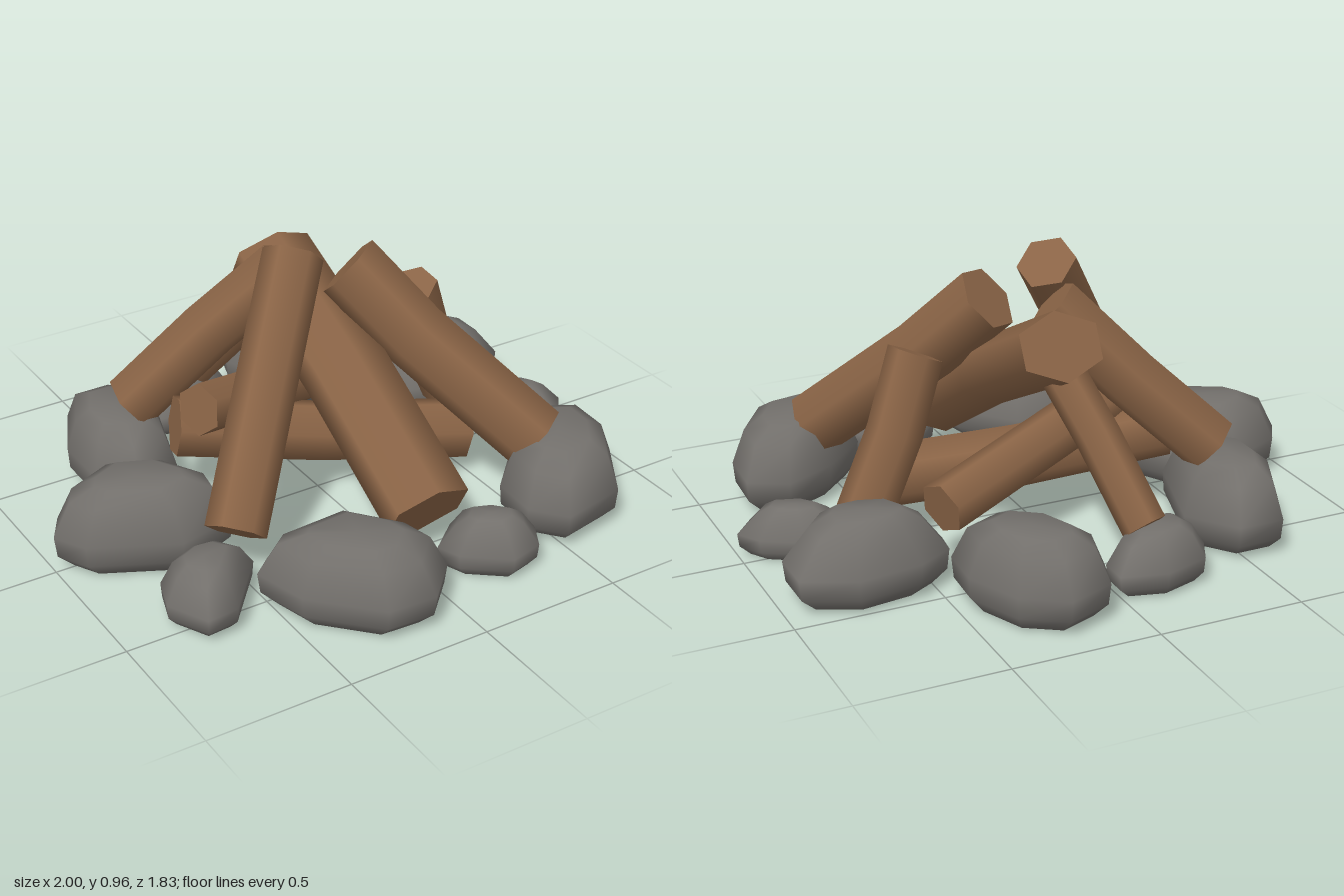
import * as THREE from 'three';

const V = (p) => new THREE.Vector3(...p);

// Six-sided log from a to b, its middle ring pushed through mid so it bends.
function log(material, name, radius, a, mid, b, widen = 1) {
  const start = V(a), end = V(b), axis = end.clone().sub(start);
  const geo = new THREE.CylinderGeometry(radius, radius, axis.length(), 6, 2);
  geo.scale(widen, 1, 1);
  geo.applyQuaternion(new THREE.Quaternion().setFromUnitVectors(new THREE.Vector3(0, 1, 0), axis.clone().normalize()));
  const centre = start.clone().add(end).multiplyScalar(0.5);
  geo.translate(centre.x, centre.y, centre.z);
  const bend = V(mid).sub(centre);
  const pos = geo.attributes.position, p = new THREE.Vector3();
  for (let i = 0; i < pos.count; i++) {
    p.fromBufferAttribute(pos, i);
    const t = p.clone().sub(start).dot(axis) / axis.lengthSq();
    p.addScaledVector(bend, 1 - Math.abs(2 * t - 1));
    pos.setXYZ(i, p.x, p.y, p.z);
  }
  const mesh = new THREE.Mesh(geo, material);
  mesh.name = name;
  return mesh;
}

// Height (share of the whole) and girth of the rings that round off a stone.
const STONE_RINGS = [[0.03, 0.78], [0.2, 0.97], [0.45, 1], [0.84, 0.8], [0.98, 0.5]];

// Rounded stone lofted from its footprint (x, z pairs, clockwise from above).
// A taper below 1 narrows the upper half.
function stone(material, name, height, outline, taper = 1) {
  const n = outline.length;
  const cx = outline.reduce((s, p) => s + p[0], 0) / n;
  const cz = outline.reduce((s, p) => s + p[1], 0) / n;
  const verts = [], index = [];
  for (const [h, girth] of STONE_RINGS) {
    const g = h > 0.6 ? girth * taper : girth;
    for (const [x, z] of outline) verts.push(cx + (x - cx) * g, h * height, cz + (z - cz) * g);
  }
  const rings = STONE_RINGS.length, bottom = rings * n, top = bottom + 1;
  verts.push(cx, 0, cz, cx, height, cz);
  for (let i = 0; i < n; i++) {
    const k = (i + 1) % n, last = (rings - 1) * n;
    for (let j = 0; j < rings - 1; j++) {
      const a = j * n + i, b = j * n + k;
      index.push(a, a + n, b, b, a + n, b + n);
    }
    index.push(bottom, i, k, top, last + k, last + i);
  }
  const geo = new THREE.BufferGeometry();
  geo.setAttribute('position', new THREE.Float32BufferAttribute(verts, 3));
  geo.setIndex(index);
  geo.computeVertexNormals();
  const mesh = new THREE.Mesh(geo, material);
  mesh.name = name;
  return mesh;
}

export function createModel() {
  const wood = new THREE.MeshStandardMaterial({ color: 0x8a6446 });
  wood.name = 'brown wood';
  const rock = new THREE.MeshStandardMaterial({ color: 0x73706c });
  rock.name = 'grey stone';

  const model = new THREE.Group();
  model.name = 'campfire';
  const logs = new THREE.Group();
  logs.name = 'logs';
  const stones = new THREE.Group();
  stones.name = 'stoneRing';
  model.add(logs, stones);

  const addLog = (...args) => logs.add(log(wood, ...args));
  const addStone = (...args) => stones.add(stone(rock, ...args));

  // Leaning logs, each from its foot to its top
  addLog('frontLog', 0.118, [0.055, 0.2, 0.59], [0.05, 0.49, 0.1], [0.04, 0.73, -0.38], 1.33);
  addLog('frontRightLog', 0.102, [-0.53, 0.195, 0.36], [-0.3, 0.55, 0.16], [-0.07, 0.895, -0.04]);
  addLog('frontLeftLog', 0.12, [0.575, 0.25, 0.46], [0.29, 0.58, 0.15], [0.14, 0.8, -0.035]);
  addLog('leftLog', 0.094, [0.63, 0.14, -0.12], [0.5, 0.41, -0.095], [0.4, 0.65, -0.04]);
  addLog('backRightLog', 0.105, [-0.51, 0.3, -0.39], [-0.25, 0.55, -0.3], [-0.03, 0.79, -0.16]);
  addLog('backLog', 0.075, [-0.12, 0.19, -0.66], [-0.06, 0.43, -0.45], [0.03, 0.68, -0.27]);

  // Logs lying across the middle
  addLog('upperCrossLog', 0.09, [0.45, 0.24, -0.36], [0, 0.33, -0.18], [-0.45, 0.435, -0.015]);
  addLog('lowerCrossLog', 0.108, [0.51, 0.15, 0.145], [0.02, 0.21, -0.015], [-0.46, 0.3, -0.17]);

  // Ring of stones
  addStone('rightStone', 0.295, [[-1, 0], [-0.94, -0.1], [-0.74, -0.19], [-0.53, -0.1], [-0.43, 0.08], [-0.45, 0.2], [-0.66, 0.25], [-0.94, 0.11]]);
  addStone('backRightStone', 0.285, [[-0.62, -0.69], [-0.46, -0.69], [-0.34, -0.53], [-0.45, -0.18], [-0.61, -0.15], [-0.72, -0.26], [-0.72, -0.48]]);
  addStone('smallBackStone', 0.2, [[-0.34, -0.66], [-0.29, -0.76], [-0.13, -0.81], [0.02, -0.77], [0.02, -0.67], [-0.1, -0.55], [-0.2, -0.53], [-0.32, -0.55]], 0.9);
  addStone('backStone', 0.285, [[0.06, -0.74], [0.1, -0.86], [0.26, -0.92], [0.4, -0.83], [0.48, -0.64], [0.47, -0.48], [0.31, -0.41], [0.14, -0.53]]);
  addStone('backLeftStone', 0.28, [[0.44, -0.34], [0.45, -0.42], [0.57, -0.49], [0.79, -0.52], [0.96, -0.44], [0.96, -0.28], [0.86, -0.16], [0.7, -0.15], [0.51, -0.21]], 0.85);
  addStone('smallLeftStone', 0.175, [[0.64, -0.01], [0.69, -0.11], [0.82, -0.1], [0.95, -0.02], [1, 0.06], [0.92, 0.16], [0.73, 0.1]], 0.8);
  addStone('frontLeftStone', 0.295, [[0.75, 0.25], [0.88, 0.32], [0.87, 0.51], [0.73, 0.73], [0.49, 0.78], [0.4, 0.67], [0.41, 0.5], [0.57, 0.34]]);
  addStone('smallFrontStone', 0.195, [[0.06, 0.64], [0.17, 0.55], [0.3, 0.6], [0.4, 0.71], [0.35, 0.8], [0.23, 0.83], [0.09, 0.72]], 0.85);
  addStone('frontStone', 0.28, [[-0.54, 0.51], [-0.48, 0.46], [-0.19, 0.44], [-0.03, 0.64], [0, 0.78], [-0.13, 0.91], [-0.3, 0.9], [-0.49, 0.7]]);
  addStone('smallRightStone', 0.205, [[-0.84, 0.47], [-0.8, 0.35], [-0.67, 0.29], [-0.56, 0.3], [-0.49, 0.4], [-0.66, 0.6], [-0.77, 0.61]], 0.9);

  return model;
}
